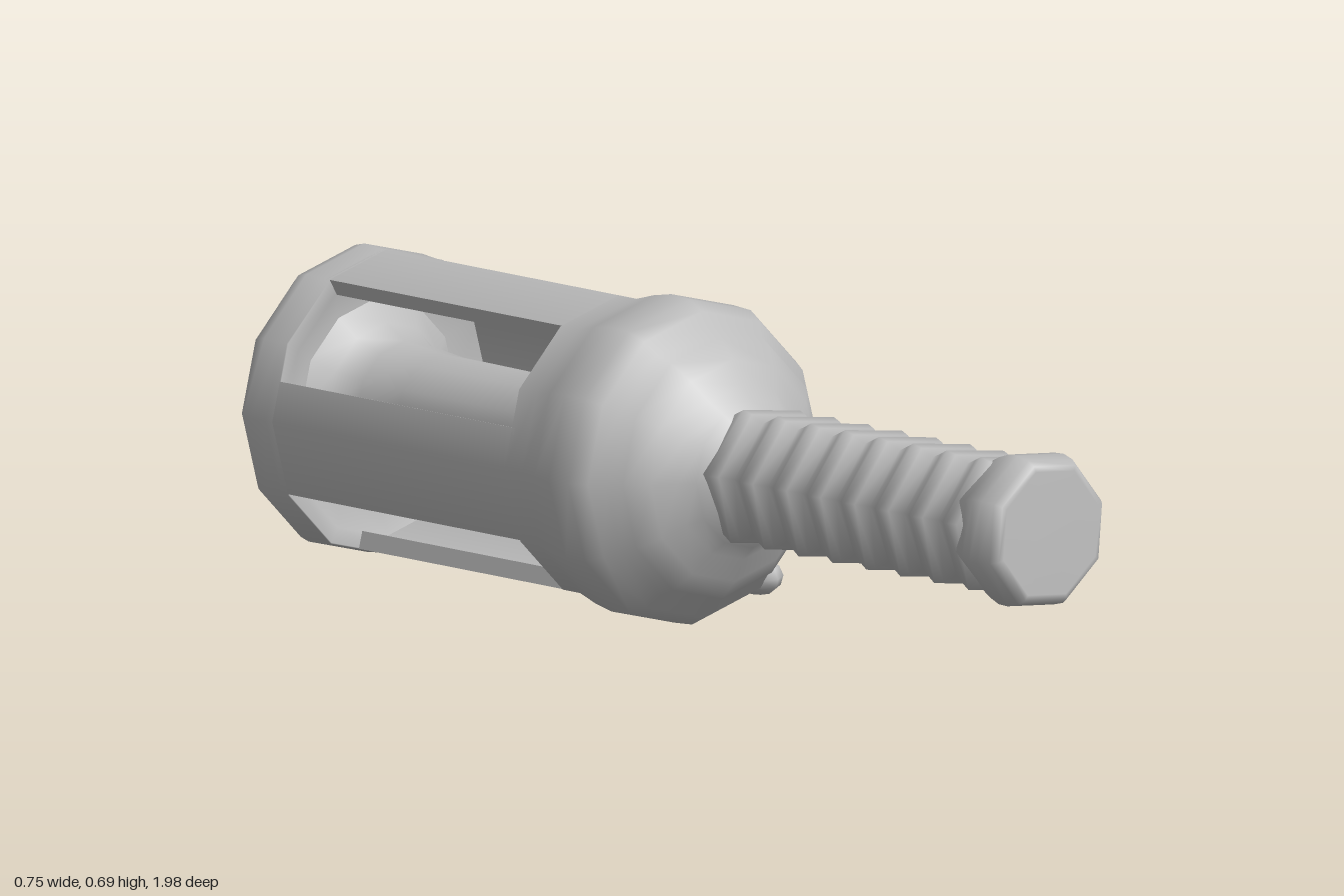
import * as THREE from 'three';

const deg = THREE.MathUtils.degToRad;
const SIDES = 12, PHASE = -5; // barrel polygon: corner count and first corner in degrees

// Lathe around local z; profile is [radius, z] pairs running towards +z
function turned(name, profile, sides, phase, material) {
  const points = profile.map(([r, z]) => new THREE.Vector2(r, z));
  const geometry = new THREE.LatheGeometry(points, sides, deg(90 + phase), Math.PI * 2);
  geometry.rotateX(Math.PI / 2);
  const mesh = new THREE.Mesh(geometry, material);
  mesh.name = name;
  return mesh;
}

// Point on the barrel polygon at an angle in degrees
function onPolygon(angle, radius) {
  const step = 360 / SIDES;
  const offset = ((((angle - PHASE) % step) + step) % step) - step / 2;
  const r = radius * Math.cos(deg(step / 2)) / Math.cos(deg(offset));
  return new THREE.Vector2(r * Math.cos(deg(angle)), r * Math.sin(deg(angle)));
}

// Curved wall strip between two windows
function cageBar(centre, halfWidth, back, front, material) {
  const angles = [centre - halfWidth, centre + halfWidth];
  for (let a = PHASE - 360; a < 720; a += 360 / SIDES) {
    if (a > centre - halfWidth + 1 && a < centre + halfWidth - 1) angles.push(a);
  }
  angles.sort((a, b) => a - b);
  const outer = angles.map((a) => onPolygon(a, 0.288));
  const inner = angles.map((a) => onPolygon(a, 0.253)).reverse();
  const geometry = new THREE.ExtrudeGeometry(new THREE.Shape([...outer, ...inner]), {
    depth: front - back, bevelEnabled: false,
  });
  geometry.translate(0, 0, back);
  // Smooth the inner and outer curved faces, keep the cut edges sharp
  const p = geometry.attributes.position, n = geometry.attributes.normal;
  for (let i = 0; i < p.count; i++) {
    const r = Math.hypot(p.getX(i), p.getY(i));
    const x = p.getX(i) / r, y = p.getY(i) / r;
    const facing = n.getX(i) * x + n.getY(i) * y;
    if (Math.abs(facing) > 0.85) n.setXYZ(i, x * Math.sign(facing), y * Math.sign(facing), 0);
  }
  const mesh = new THREE.Mesh(geometry, material);
  mesh.name = 'cageBar';
  return mesh;
}

export function createModel() {
  const grey = new THREE.MeshStandardMaterial({ color: 0xbbbbbb });
  grey.name = 'plain grey';
  const body = new THREE.Group();
  body.name = 'tiltedBody';

  // Closed rear cap with a hollowed inner face
  body.add(turned('rearCap', [
    [0, -0.962], [0.25, -0.96], [0.268, -0.957], [0.286, -0.935], [0.292, -0.91],
    [0.288, -0.87], [0.288, -0.851], [0.286, -0.85], [0.255, -0.85], [0.2, -0.875], [0, -0.88],
  ], SIDES, PHASE, grey));

  // Four bars leaving four windows
  for (let i = 0; i < 4; i++) body.add(cageBar(2 + i * 90, 22.5, -0.86, -0.2, grey));

  // Inner core, flared at both ends
  body.add(turned('innerCore', [
    [0.2, -0.878], [0.15, -0.85], [0.122, -0.8], [0.112, -0.7], [0.11, -0.5],
    [0.112, -0.36], [0.125, -0.27], [0.16, -0.22], [0.22, -0.2],
  ], SIDES, PHASE, grey));

  // Swollen collar and dome leading into the handle
  body.add(turned('collar', [
    [0, -0.19], [0.2, -0.19], [0.255, -0.21], [0.286, -0.21], [0.288, -0.208], [0.288, -0.16],
    [0.302, -0.11], [0.311, -0.06], [0.308, -0.01], [0.29, 0.025], [0.262, 0.045],
    [0.248, 0.075], [0.21, 0.11], [0.165, 0.135], [0.14, 0.16], [0.115, 0.18],
  ], SIDES, PHASE, grey));

  // Small nub on the underside of the collar
  const nub = new THREE.Mesh(new THREE.SphereGeometry(0.04, 8, 6), grey);
  nub.name = 'collarNub';
  nub.scale.set(1, 0.9, 1.4);
  nub.position.set(0.29 * Math.cos(deg(-60)), 0.29 * Math.sin(deg(-60)), -0.01);
  body.add(nub);

  // Six-sided handle with evenly spaced ridges
  const ridges = [[0.12, 0.13]];
  const pitch = 0.094;
  for (let i = 0; i < 8; i++) {
    const z = 0.15 + i * pitch;
    ridges.push([0.122, z], [0.135, z + pitch * 0.3], [0.144, z + pitch * 0.5], [0.137, z + pitch * 0.72]);
  }
  ridges.push([0.12, 0.9]);
  body.add(turned('ridgedHandle', ridges, 6, -13, grey));

  // Eight-sided pommel
  body.add(turned('pommel', [
    [0.1, 0.83], [0.128, 0.86], [0.142, 0.89], [0.152, 0.92], [0.153, 0.945],
    [0.146, 0.972], [0.136, 0.986], [0.125, 0.988], [0, 0.989],
  ], 8, 11.7, grey));

  // Lean the whole body along its axis
  body.position.set(-0.07, 0.395, 0);
  body.lookAt(-0.07 - 0.172, 0.395 + 0.108, 0.979);

  const model = new THREE.Group();
  model.name = 'cagedBarrelWithHandle';
  model.add(body);
  return model;
}
